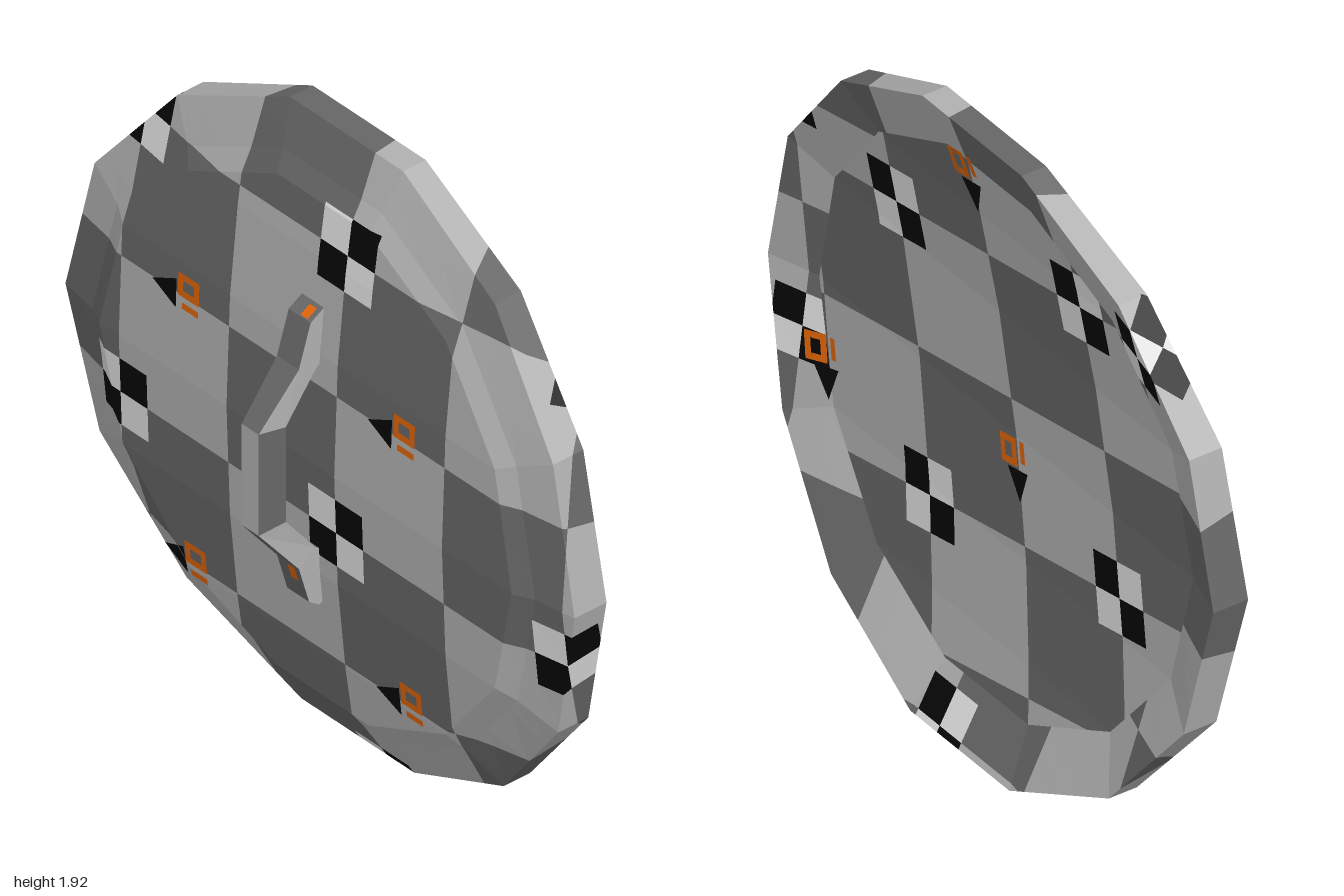
import * as THREE from 'three';

const SIDES = 14, MID_Y = 0.96;

const mat = (name, color, side = THREE.FrontSide) => {
  const m = new THREE.MeshStandardMaterial({ color, flatShading: true, side });
  m.name = name;
  return m;
};

// Ring of corners, bowed backwards towards top and bottom (y measured from the disc centre)
const ring = (r, z0, bow, tilt) => Array.from({ length: SIDES }, (_, k) => {
  const a = (k / SIDES) * Math.PI * 2, y = 0.985 * r * Math.sin(a);
  return [r * Math.cos(a), y, z0 - bow * y * y + tilt * y];
});

// Adds pattern coordinates to the corners of a ring, spread outwards by a factor
const spread = (r, s) => r.map(([x, y, z]) => [x, y, z, x * s, y * s]);

// Checker layout: origin and the two steps of a quarter cell
const layout = (o, ep, eq) => {
  const coord = (e) => (v) => {
    const x = v[3] ?? v[0], y = v[4] ?? v[1];
    return ((x - o[0]) * e[0] + (y - o[1]) * e[1]) / (e[0] ** 2 + e[1] ** 2);
  };
  return {
    p: coord(ep), q: coord(eq),
    at: (p, q) => [o[0] + p * ep[0] + q * eq[0], o[1] + p * ep[1] + q * eq[1]],
  };
};

// Part of a convex polygon where f is above (sign 1) or below (sign -1) a limit
function cut(poly, f, limit, sign) {
  const out = [];
  poly.forEach((a, i) => {
    const b = poly[(i + 1) % poly.length];
    const da = (f(a) - limit) * sign, db = (f(b) - limit) * sign;
    if (da >= 0) out.push(a);
    if (da * db < 0) out.push(a.map((v, k) => v + (b[k] - v) * (da / (da - db))));
  });
  return out;
}

function bands(poly, f) {
  const vals = poly.map(f), out = [];
  for (let i = Math.floor(Math.min(...vals)); i < Math.max(...vals); i++) {
    const piece = cut(cut(poly, f, i, 1), f, i + 1, -1);
    if (piece.length > 2) out.push([i, piece]);
  }
  return out;
}

const mod8 = (i) => ((i % 8) + 8) % 8;
function cellColour(i, j) {
  const a = mod8(i), b = mod8(j);
  if ((a === 0 || a === 7) && (b === 0 || b === 7)) return a === b ? 'black' : 'white';
  return (Math.floor(i / 4) + Math.floor(j / 4)) % 2 === 0 ? 'light' : 'dark';
}

export function createModel() {
  const group = new THREE.Group();
  const mats = {
    dark: mat('dark grey', 0x666666),
    light: mat('light grey', 0xb0b0b0),
    black: mat('black', 0x060606),
    white: mat('pale grey', 0xdedede),
    orange: mat('orange', 0xe06408),
  };

  const addFaces = (name, bins) => {
    const part = new THREE.Group();
    part.name = name;
    part.position.y = MID_Y;
    for (const [colour, polys] of Object.entries(bins)) {
      const pos = [];
      for (const poly of polys)
        for (let i = 1; i < poly.length - 1; i++)
          for (const v of [poly[0], poly[i], poly[i + 1]]) pos.push(v[0], v[1], v[2]);
      const g = new THREE.BufferGeometry();
      g.setAttribute('position', new THREE.Float32BufferAttribute(pos, 3));
      g.computeVertexNormals();
      const mesh = new THREE.Mesh(g, mats[colour]);
      mesh.name = `${name} ${colour}`;
      part.add(mesh);
    }
    group.add(part);
  };

  const addChecked = (name, polys, map) => {
    const bins = {};
    for (const poly of polys)
      for (const [i, strip] of bands(poly, map.p))
        for (const [j, cell] of bands(strip, map.q)) (bins[cellColour(i, j)] ??= []).push(cell);
    addFaces(name, bins);
  };

  // Rings of the dished disc
  const faceRing = ring(0.81, 0.04, 0.1, 0);
  const shoulder = ring(0.87, 0.012, 0.1, 0.006);
  const rimFront = ring(1, -0.01, 0.12, 0.02);
  const rimBack = ring(1, -0.12, 0.085, 0.02);
  const backRing = ring(0.84, -0.07, 0.09, 0.005);

  const loft = (a, b) => a.map((v, k) => {
    const n = (k + 1) % SIDES;
    return [v, a[n], b[n], b[k]];
  });
  const strips = (r) => [0, 7].flatMap((b) => [0, 1, 2].map((j) =>
    [b + j, b + j + 1, b + 6 - j, b + 7 - j].map((k) => r[k % SIDES])));

  const frontMap = layout([0.113, -0.18], [0.1058, 0], [0, 0.1073]);
  const ep = [0.0185, 0.1052], eq = [0.1052, -0.0185];
  const backMap = layout([-0.026 - 4 * (ep[0] + eq[0]), 0.105 - 4 * (ep[1] + eq[1])], ep, eq);

  addChecked('frontFace', strips(faceRing), frontMap);
  addChecked('frontStep', loft(shoulder, faceRing), frontMap);
  addChecked('frontBevel', loft(rimFront, shoulder), frontMap);
  addChecked('rim', loft(spread(rimBack, 1.1), spread(rimFront, 1)), frontMap);
  addChecked('backBevel', loft(spread(backRing, 1.1), spread(rimBack, 1.1)), frontMap);
  addChecked('backFace', strips(backRing).map((p) => p.reverse()), backMap);

  // Small painted marks: a black arrowhead beside an orange frame and bar
  const heightAt = (r, y) => {
    const side = [-3, -2, -1, 0, 1, 2, 3].map((k) => r[(k + SIDES) % SIDES]);
    let i = 0;
    while (i < 5 && y > side[i + 1][1]) i++;
    const [a, b] = [side[i], side[i + 1]];
    return a[2] + ((b[2] - a[2]) * (y - a[1])) / (b[1] - a[1]);
  };
  const box = (p0, q0, p1, q1) => [[p0, q0], [p1, q0], [p1, q1], [p0, q1]];
  const arrow = [[1.2, 4], [2.08, 3.58], [2.08, 4.42]];
  const frame = [
    box(2.14, 4, 2.92, 4.19), box(2.14, 4.48, 2.92, 4.66), box(2.14, 4.19, 2.33, 4.48),
    box(2.73, 4.19, 2.92, 4.48), box(2.3, 3.66, 2.9, 3.84),
  ];
  const addMarks = (name, r, map, lift) => {
    const bins = { black: [], orange: [] };
    for (const a of [-8, 0, 8]) for (const b of [-8, 0, 8]) {
      const c = map.at(2 + a, 4 + b);
      if (Math.hypot(c[0], c[1]) > 0.84) continue;
      const place = (poly) => poly.map(([p, q]) => {
        const [x, y] = map.at(p + a, q + b);
        const drop = 0.3 * Math.max(0, Math.hypot(x, y) - 0.81);
        return [x, y, heightAt(r, y) + lift - drop];
      });
      bins.black.push(place(arrow));
      bins.orange.push(...frame.map(place));
    }
    addFaces(name, bins);
  };
  addMarks('frontMarks', faceRing, frontMap, 0.004);
  addMarks('backMarks', backRing, backMap, -0.004);

  // Handle: bent strap in three pieces, profile given as [z, y], narrower at the grip front
  const strap = (name, profile, materials) => {
    const shape = new THREE.Shape(profile.map(([z, y]) => new THREE.Vector2(-z, y)));
    const g = new THREE.ExtrudeGeometry(shape, { depth: 0.086, bevelEnabled: false });
    g.translate(0, 0, -0.043).rotateY(Math.PI / 2);
    const pos = g.attributes.position;
    for (let i = 0; i < pos.count; i++) if (pos.getZ(i) > 0.2) pos.setX(i, pos.getX(i) * 0.78);
    g.computeVertexNormals();
    const mesh = new THREE.Mesh(g, materials);
    mesh.name = name;
    group.add(mesh);
  };
  strap('upperArm', [[0.01, 1.45], [0.06, 1.42], [0.1, 1.29], [0.23, 1.14], [0.145, 1.13], [0.04, 1.27], [0, 1.29]],
    [mats.light, mats.dark]);
  strap('grip', [[0.23, 1.14], [0.23, 0.82], [0.145, 0.83], [0.145, 1.13]], [mats.dark, mats.light]);
  strap('lowerArm', [[0.23, 0.82], [0.1, 0.66], [0.065, 0.54], [0.03, 0.515], [0, 0.53], [0, 0.68], [0.04, 0.7], [0.145, 0.83]],
    [mats.light, mats.dark]);

  // Small orange flecks on the strap ends, lying on the slope between two [z, y] points
  const fleck = (name, [z0, y0], [z1, y1]) => {
    const g = new THREE.PlaneGeometry(0.028, Math.hypot(z1 - z0, y1 - y0));
    g.rotateX(Math.atan2(z1 - z0, y1 - y0));
    const mesh = new THREE.Mesh(g, mats.orange);
    mesh.name = name;
    mesh.position.set(0.015, (y0 + y1) / 2, (z0 + z1) / 2 + 0.004);
    group.add(mesh);
  };
  fleck('upperFleck', [0.054, 1.424], [0.022, 1.443]);
  fleck('lowerFleck', [0.085, 0.61], [0.1, 0.658]);

  return group;
}
